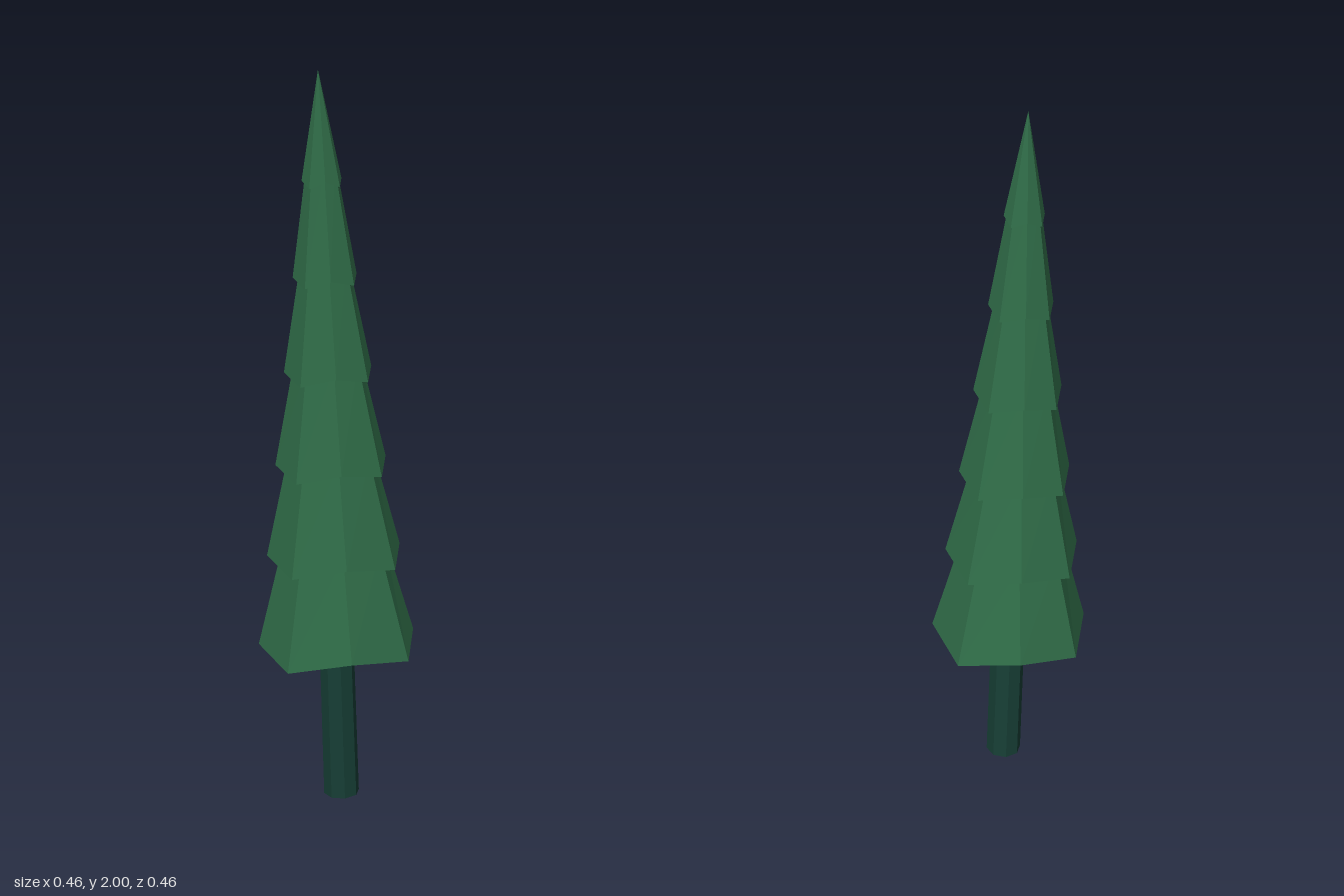
import * as THREE from 'three';

const SIDES = 8;
const TIERS = 6;

// Joins octagonal rings [radius, height, corner lift] from bottom to top; every second corner is drawn in and lifted
function ringGeometry(rings) {
  const corner = ([r, y, lift], i) => {
    const a = (i / SIDES) * Math.PI * 2;
    const odd = i % 2;
    const radius = r * (odd ? 0.925 : 1);
    return [radius * Math.sin(a), y + odd * lift, radius * Math.cos(a)];
  };
  const pos = [];
  for (let k = 0; k < rings.length - 1; k++) {
    const lower = rings[k], upper = rings[k + 1];
    for (let i = 0; i < SIDES; i++) {
      const a = corner(lower, i), b = corner(lower, i + 1);
      const c = corner(upper, i + 1), d = corner(upper, i);
      if (lower[0] > 0) pos.push(...a, ...b, ...c);
      if (upper[0] > 0) pos.push(...a, ...c, ...d);
    }
  }
  const g = new THREE.BufferGeometry();
  g.setAttribute('position', new THREE.Float32BufferAttribute(pos, 3));
  g.computeVertexNormals();
  return g;
}

export function createModel() {
  const model = new THREE.Group();
  model.name = 'pineTree';
  const foliage = new THREE.MeshStandardMaterial({ color: 0x2f6b47, flatShading: true });
  const bark = new THREE.MeshStandardMaterial({ color: 0x173f36, flatShading: true });

  // The whole tree leans slightly
  const tree = new THREE.Group();
  tree.name = 'leaningTree';
  tree.rotation.set(-0.008, 0.042, 0.04, 'ZYX');
  tree.position.set(0.015, 0, 0.006);
  model.add(tree);

  // Trunk
  const trunk = new THREE.Mesh(new THREE.CylinderGeometry(0.047, 0.049, 0.5, SIDES), bark);
  trunk.name = 'trunk';
  trunk.position.y = 0.252;
  tree.add(trunk);

  // Stacked skirts of foliage, each tucked under the one above
  const rimY = (t) => 0.44 + 0.253 * t;
  const rimR = (t) => 0.231 - 0.035 * t;
  for (let t = 0; t < TIERS; t++) {
    const y = rimY(t), r = rimR(t);
    const top = t === TIERS - 1
      ? [0, 2, 0]
      : [rimR(t + 1) * 0.76, rimY(t + 1) + 0.05, 0];
    const skirt = new THREE.Mesh(ringGeometry([
      [0, y + 0.03, 0],            // underside centre
      [r * 0.72, y + 0.03, 0],     // underside
      [r, y, 0.026 - 0.002 * t],   // zigzag rim
      top,
    ]), foliage);
    skirt.name = `foliageTier${t + 1}`;
    tree.add(skirt);
  }
  return model;
}
